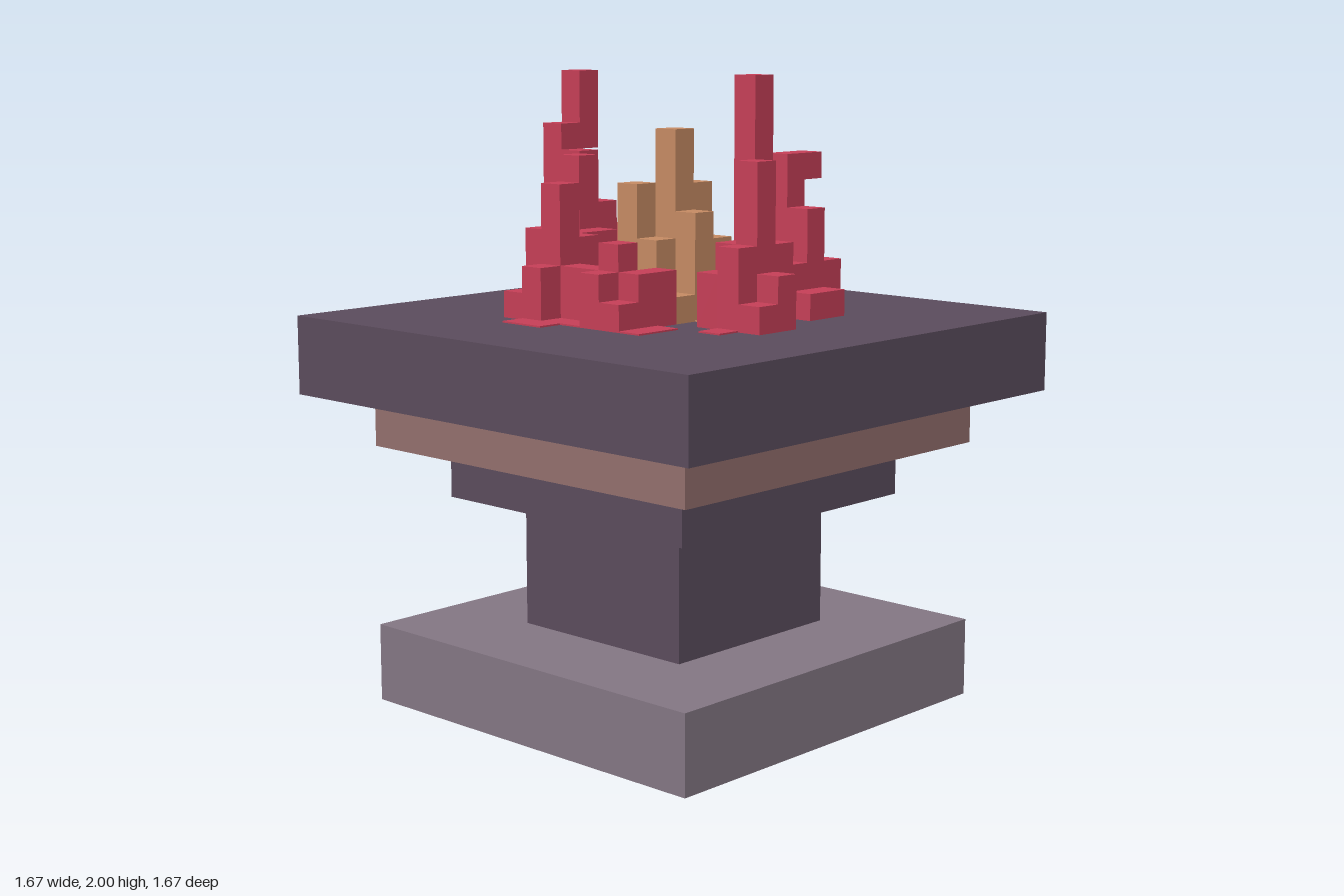
import * as THREE from 'three';
import { mergeGeometries } from 'three/addons/utils/BufferGeometryUtils.js';

const U = 1 / 12;      // edge of one cube
const DECK = 15;       // height of the bowl top, in cubes

function material(name, color) {
  const m = new THREE.MeshStandardMaterial({ color });
  m.name = name;
  return m;
}

// Box spanning cube coordinates
function block(x, y, z, w, h, d) {
  const g = new THREE.BoxGeometry(w * U, h * U, d * U);
  g.translate((x + w / 2) * U, (y + h / 2) * U, (z + d / 2) * U);
  return g;
}

// Each row is one z line: '.' is empty, a digit is the height of that column
// (0 is a thin ember patch). Rows run from z = -6, columns from x = -6.
function flame(rows, floating) {
  const parts = [];
  rows.forEach((row, k) => [...row].forEach((c, i) => {
    if (c === '.') return;
    parts.push(block(i - 6, DECK, k - 6, 1, Number(c) || 0.06, 1));
  }));
  for (const [x, z, from, to] of floating) parts.push(block(x, DECK + from, z, 1, to - from, 1));
  return mergeGeometries(parts);
}

const RED = [
  '....375.....',
  '...0364.330.',
  '.11.3320010.',
  '0253....00..',
  '0021......01',
  '.02......023',
  '.23......011',
  '.122........',
  '.00.....160.',
  '....2390242.',
  '...0363.11..',
  '....12......',
];

const ORANGE = [
  '............',
  '............',
  '............',
  '.....00.....',
  '....0220....',
  '...054310...',
  '...037520...',
  '....1430....',
  '.....00.....',
  '............',
  '............',
  '............',
];

export function createModel() {
  const model = new THREE.Group();
  const stone = material('pale stone', 0x857885);
  const dark = material('dark stone', 0x5c4d5e);
  const band = material('copper band', 0x94706e);
  const red = material('red fire', 0xc84058);
  const orange = material('orange fire', 0xc88c64);

  const add = (name, geometry, mat) => {
    const mesh = new THREE.Mesh(geometry, mat);
    mesh.name = name;
    model.add(mesh);
  };

  // Square tiers of the pedestal: name, width, bottom, top, material
  for (const [name, w, y0, y1, mat] of [
    ['base', 16, 0, 3, stone],
    ['column', 8, 3, 8, dark],
    ['capital', 12, 8, 10, dark],
    ['band', 16, 10, 12, band],
    ['bowl', 20, 12, DECK, dark],
  ]) add(name, block(-w / 2, y0, -w / 2, w, y1 - y0, w), mat);

  // Outer flames, with cubes that hang from the taller tongues
  add('outerFlames', flame(RED, [
    [0, -6, 6, 9],
    [-3, -3, 4, 6],
    [4, 2, 5, 6],
  ]), red);

  // Inner flames
  add('innerFlames', flame(ORANGE, []), orange);

  return model;
}
